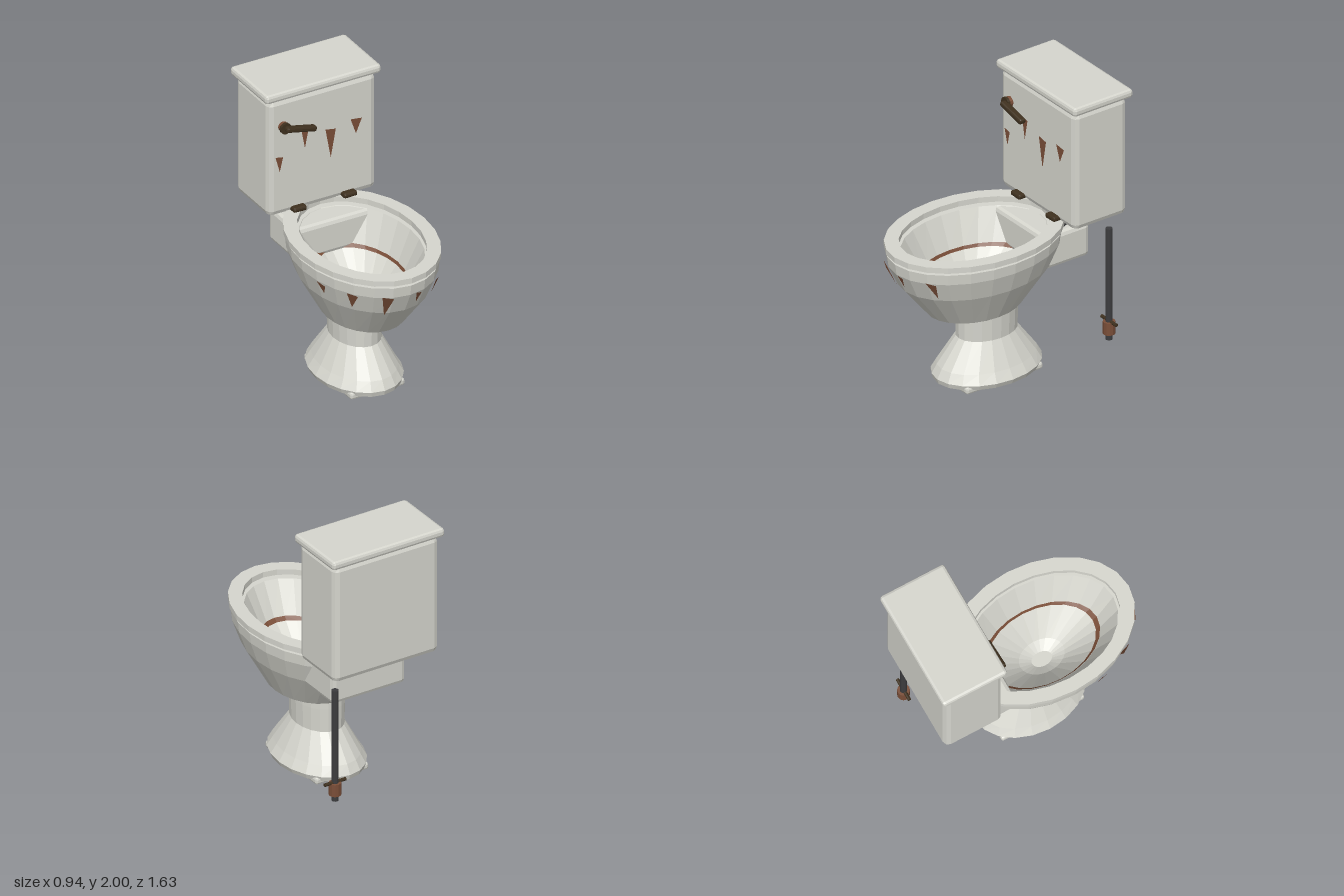
import * as THREE from 'three';
import { RoundedBoxGeometry } from 'three/addons/geometries/RoundedBoxGeometry.js';

const material = (name, color, side = THREE.FrontSide) =>
  new THREE.MeshStandardMaterial({ name, color, side, flatShading: true });

// Skin of elliptical rings [y, rx, rz], listed up the outside and down the inside
function loft(rings, cz, sides = 24) {
  const pos = [], index = [];
  for (const [y, rx, rz] of rings) {
    for (let i = 0; i < sides; i++) {
      const a = (i / sides) * Math.PI * 2;
      pos.push(rx * Math.sin(a), y, cz + rz * Math.cos(a));
    }
  }
  for (let j = 0; j < rings.length - 1; j++) {
    for (let i = 0; i < sides; i++) {
      const k = (i + 1) % sides;
      const a = j * sides + i, b = j * sides + k, c = b + sides, d = a + sides;
      index.push(a, b, c, a, c, d);
    }
  }
  const g = new THREE.BufferGeometry();
  g.setAttribute('position', new THREE.Float32BufferAttribute(pos, 3));
  g.setIndex(index);
  g.computeVertexNormals();
  return g;
}

// Single triangular streak
function triangle(points) {
  const g = new THREE.BufferGeometry();
  g.setAttribute('position', new THREE.Float32BufferAttribute(points.flat(), 3));
  g.computeVertexNormals();
  return g;
}

export function createModel() {
  const model = new THREE.Group();
  model.name = 'toilet';
  const ceramic = material('ceramic', 0xd6d6ce);
  const rust = material('rust', 0x7a4e38, THREE.DoubleSide);
  const bronze = material('darkBronze', 0x3f311f);
  const iron = material('iron', 0x3c3c3e);

  const add = (name, geometry, mat, x = 0, y = 0, z = 0) => {
    const mesh = new THREE.Mesh(geometry, mat);
    mesh.name = name;
    mesh.position.set(x, y, z);
    model.add(mesh);
    return mesh;
  };
  // Box with chamfered edges
  const block = (name, mat, w, h, d, bevel, x, y, z) =>
    add(name, new RoundedBoxGeometry(w, h, d, 1, bevel), mat, x, y, z);
  const rod = (name, mat, r, h, x, y, z, sides = 12) =>
    add(name, new THREE.CylinderGeometry(r, r, h, sides), mat, x, y, z);

  // Foot and pedestal
  block('footPlate', ceramic, 0.41, 0.05, 0.62, 0.015, 0, 0.025, 0.06);
  add('pedestal', loft([
    [0.025, 0, 0], [0.025, 0.28, 0.39], [0.06, 0.295, 0.4], [0.125, 0.255, 0.365],
    [0.31, 0.16, 0.225], [0.48, 0.165, 0.23], [0.55, 0.165, 0.23], [0.55, 0, 0],
  ], 0.06, 20), ceramic);

  // Bowl, outside and inside
  const cz = 0.16;
  const outside = [
    [0.48, 0.155, 0.19], [0.54, 0.262, 0.348], [0.8, 0.4, 0.56],
    [0.95, 0.45, 0.632], [1.025, 0.457, 0.642],
  ];
  add('bowl', loft([
    [0.48, 0, 0], ...outside, [1.025, 0.365, 0.535], [0.8, 0.27, 0.41],
    [0.6, 0.115, 0.16], [0.55, 0.05, 0.072], [0.55, 0, 0],
  ], cz), ceramic);
  add('waterlineStain', loft([[0.79, 0.258, 0.38], [0.81, 0.268, 0.411]], cz), rust);

  // Seat ring
  add('seat', loft([
    [1.045, 0.375, 0.55], [1.045, 0.468, 0.65], [1.085, 0.468, 0.65],
    [1.085, 0.375, 0.55], [1.045, 0.375, 0.55],
  ], cz), ceramic);

  // Seat hinges
  for (const side of [-1, 1]) {
    block('hinge', bronze, 0.1, 0.035, 0.085, 0.012, side * 0.19, 1.097, -0.352);
    rod('hingeBolt', iron, 0.04, 0.07, side * 0.19, 1.055, -0.4, 8);
  }

  // Shelf behind the bowl, tank and lid
  block('shelf', ceramic, 0.57, 0.245, 0.37, 0.03, 0, 0.898, -0.385);
  block('tank', ceramic, 0.815, 0.87, 0.43, 0.04, 0, 1.505, -0.57);
  block('tankLid', ceramic, 0.87, 0.062, 0.48, 0.02, 0, 1.969, -0.574);

  // Flush handle
  rod('handleHub', rust, 0.036, 0.05, -0.3, 1.738, -0.34).rotation.x = Math.PI / 2;
  rod('handleCap', bronze, 0.04, 0.02, -0.3, 1.738, -0.32).rotation.x = Math.PI / 2;
  block('handleLever', bronze, 0.23, 0.038, 0.05, 0.012, -0.197, 1.717, -0.3).rotation.z = -0.22;

  // Supply pipe with its valve
  rod('supplyPipe', iron, 0.024, 0.825, 0.34, 0.5525, -0.685);
  rod('valveBody', rust, 0.042, 0.09, 0.34, 0.228, -0.685);
  rod('valveHandle', bronze, 0.012, 0.165, 0.34, 0.275, -0.685, 8).rotation.z = Math.PI / 2;

  // Rust streaks on the tank front: left corner, right corner, tip
  const tankStreaks = [
    [[-0.357, 1.516], [-0.3, 1.505], [-0.325, 1.4]],
    [[-0.165, 1.685], [-0.105, 1.675], [-0.135, 1.527]],
    [[0.02, 1.62], [0.098, 1.606], [0.06, 1.4]],
    [[0.21, 1.643], [0.295, 1.632], [0.25, 1.527]],
  ];
  for (const s of tankStreaks)
    add('tankStreak', triangle([s[0], s[2], s[1]].map(([x, y]) => [x, y, -0.351])), rust);

  // Rust streaks following the bowl front
  const onBowl = ([x, y]) => {
    const j = outside.findIndex((r) => r[0] >= y);
    const [lo, hi] = [outside[j - 1], outside[j]];
    const t = (y - lo[0]) / (hi[0] - lo[0]);
    const rx = 1.03 * THREE.MathUtils.lerp(lo[1], hi[1], t);
    const rz = 1.03 * THREE.MathUtils.lerp(lo[2], hi[2], t);
    return [x, y, cz + rz * Math.sqrt(Math.max(0, 1 - (x / rx) ** 2))];
  };
  const bowlStreaks = [
    [[-0.447, 0.96], [-0.425, 0.945], [-0.41, 0.875]],
    [[-0.357, 0.96], [-0.31, 0.95], [-0.31, 0.835]],
    [[-0.19, 0.965], [-0.12, 0.95], [-0.14, 0.785]],
    [[0.035, 0.965], [0.08, 0.955], [0.055, 0.875]],
    [[0.23, 0.965], [0.28, 0.95], [0.25, 0.83]],
  ];
  for (const s of bowlStreaks)
    add('bowlStreak', triangle([s[0], s[2], s[1]].map(onBowl)), rust);

  return model;
}
